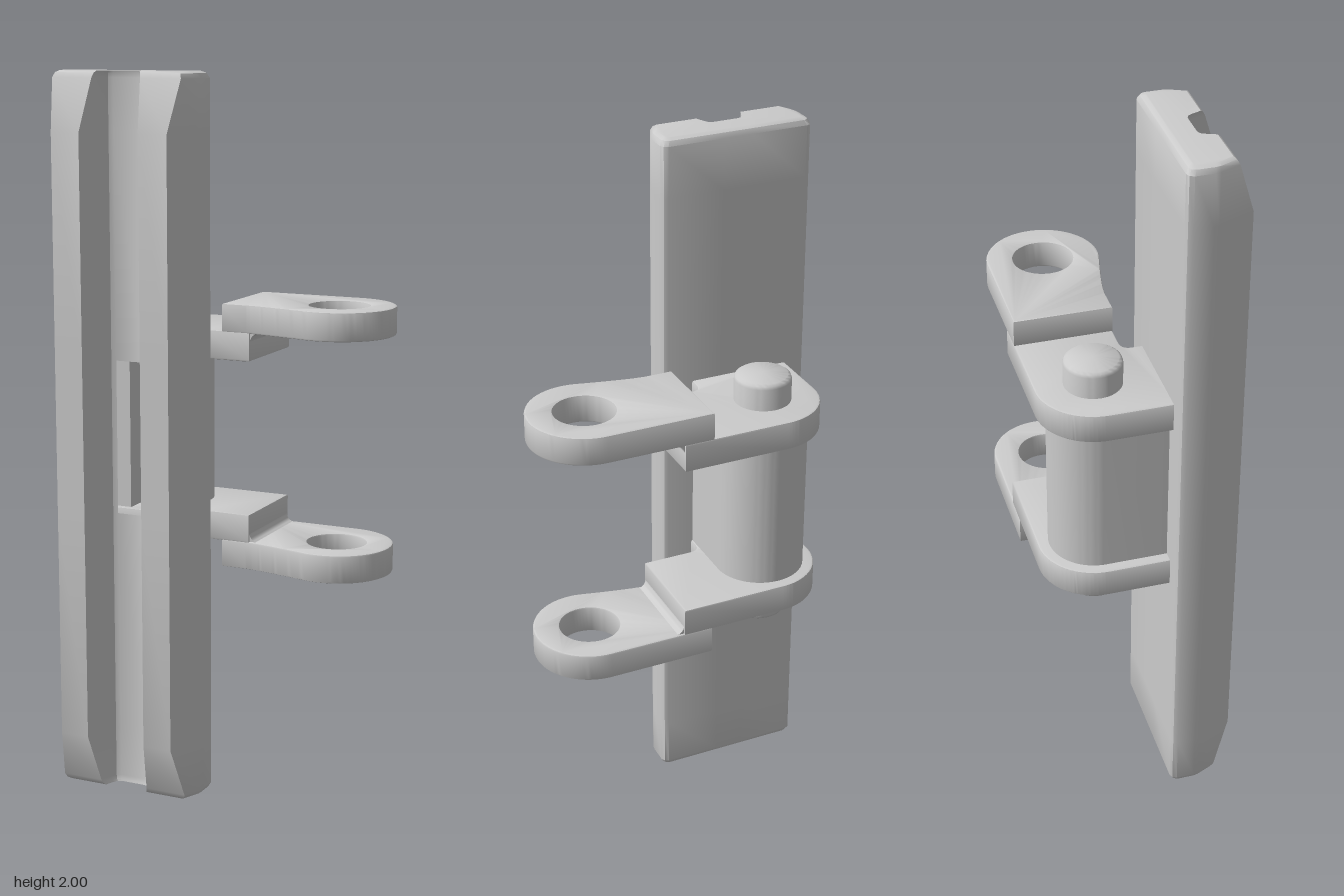
import * as THREE from 'three';
import { toCreasedNormals } from 'three/addons/utils/BufferGeometryUtils.js';

const MID = 1.005;            // height of the link's mirror plane
const CX = -0.229, CZ = -0.1; // pin axis
const EYE_X = 0.287;          // axis of the open eyes
const SLOT = { half: 0.04, y0: 0.79, y1: 1.22, back: 0.07, front: 0.147 };

const material = new THREE.MeshStandardMaterial({ color: 0xcccccc });

function part(name, geometry) {
  const mesh = new THREE.Mesh(toCreasedNormals(geometry, 0.6), material);
  mesh.name = name;
  return mesh;
}

// Extrudes a plan outline (x, z) between two heights, with rounded rims
function slab(shape, y0, y1, bevel) {
  const geometry = new THREE.ExtrudeGeometry(shape, {
    depth: y1 - y0 - 2 * bevel, curveSegments: 28, bevelEnabled: bevel > 0,
    bevelThickness: bevel, bevelSize: bevel, bevelOffset: -bevel, bevelSegments: 2,
  });
  return geometry.rotateX(Math.PI / 2).translate(0, y1 - bevel, 0);
}

// Pad cross-section, with the tread tips cut off at depth tipZ
function padSection(tipZ, inset) {
  const t = (tipZ - 0.152) / 0.1;
  const lerp = THREE.MathUtils.lerp;
  const half = [
    [SLOT.half, SLOT.back], [0.2, 0.07], [0.211, 0.075], [0.2165, 0.087],
    [0.2165, 0.138], [0.214, 0.152],
    [lerp(0.214, 0.172, t), tipZ], [lerp(0.054, 0.088, t), tipZ],
    [0.06, 0.17], [0.052, 0.153], [SLOT.half, SLOT.front],
  ];
  const all = [...half, ...half.map(([u, z]) => [-u, z]).reverse()];
  const k = 1 - inset / 0.2165;
  return all.map(([u, z]) => [CX + u * k, 0.16 + (z - 0.16) * (1 - inset / 0.09)]);
}

// Grooved pad lofted along y, leaving a slot through its middle
function padGeometry() {
  const lower = [[0, 0.2, 0.018], [0.005, 0.202, 0.007], [0.018, 0.206, 0], [0.16, 0.252, 0]];
  const rows = [
    ...lower, [SLOT.y0, 0.252, 0], [SLOT.y1, 0.252, 0],
    ...lower.map(([y, z, i]) => [2 - y, z, i]).reverse(),
  ];
  const rings = rows.map(([y, z, inset]) => padSection(z, inset).map(([x, w]) => [x, y, w]));
  const n = rings[0].length;
  const positions = [];
  const tri = (...p) => p.forEach((v) => positions.push(...v));
  const quad = (a, b, c, d) => { tri(a, b, c); tri(a, c, d); };

  for (let r = 0; r < rings.length - 1; r++) {
    for (let i = 0; i < n; i++) {
      const j = (i + 1) % n;
      const slotStrip = i === n / 2 - 1 || i === n - 1;
      if (slotStrip && rows[r][0] === SLOT.y0) continue;
      quad(rings[r][i], rings[r + 1][i], rings[r + 1][j], rings[r][j]);
    }
  }
  // End caps
  const flat = rings[0].map(([x, , z]) => new THREE.Vector2(x, z));
  const top = rings[rings.length - 1];
  for (const [a, b, c] of THREE.ShapeUtils.triangulateShape(flat, [])) {
    const ccw = (flat[b].x - flat[a].x) * (flat[c].y - flat[a].y)
      - (flat[b].y - flat[a].y) * (flat[c].x - flat[a].x) > 0;
    const [p, q] = ccw ? [b, c] : [c, b];
    tri(rings[0][a], rings[0][p], rings[0][q]);
    tri(top[a], top[q], top[p]);
  }
  // Slot walls
  const corners = [[-1, SLOT.y0], [1, SLOT.y0], [1, SLOT.y1], [-1, SLOT.y1]];
  corners.forEach(([s, y], i) => {
    const [s2, y2] = corners[(i + 1) % 4];
    const at = (side, h, z) => [CX + side * SLOT.half, h, z];
    quad(at(s, y, SLOT.back), at(s2, y2, SLOT.back), at(s2, y2, SLOT.front), at(s, y, SLOT.front));
  });
  const geometry = new THREE.BufferGeometry();
  geometry.setAttribute('position', new THREE.Float32BufferAttribute(positions, 3));
  geometry.computeVertexNormals();
  return geometry;
}

// Inner plate, joining the pad to the step
function innerPlateShape() {
  const s = new THREE.Shape();
  s.moveTo(-0.385, 0.085);
  s.lineTo(-0.385, CZ);
  s.absarc(CX, CZ, 0.156, Math.PI, Math.PI * 1.5, false);
  s.lineTo(0.07, -0.256);
  s.lineTo(0.07, 0.015);
  s.lineTo(-0.07, 0.015);
  s.quadraticCurveTo(-0.1, 0.015, -0.1, 0.043);
  s.lineTo(-0.1, 0.085);
  return s;
}

// Outer plate with its round eye
function outerPlateShape() {
  const s = new THREE.Shape();
  s.moveTo(-0.012, -0.256);
  s.lineTo(EYE_X, -0.256);
  s.absarc(EYE_X, CZ, 0.156, -Math.PI / 2, Math.PI / 2 + 0.2, false);
  s.quadraticCurveTo(0.1, 0.015, 0.06, 0.015);
  s.lineTo(-0.012, 0.015);
  s.holes.push(new THREE.Path().absarc(EYE_X, CZ, 0.083, 0, Math.PI * 2, true));
  return s;
}

// Barrel around the pin, with straight cheeks and a channel to the slot
function barrelShape() {
  const r = 0.125, h = SLOT.half;
  const s = new THREE.Shape();
  s.moveTo(CX - r, 0.07);
  s.lineTo(CX - r, CZ);
  s.absarc(CX, CZ, r, Math.PI, Math.PI * 2, false);
  s.lineTo(CX + r, 0.07);
  s.lineTo(CX + h, 0.07);
  s.lineTo(CX + h, -0.06);
  s.lineTo(CX - h, -0.06);
  s.lineTo(CX - h, 0.07);
  return s;
}

// Small cove where the inner plate meets the outer plate
function coveGeometry(side) {
  const y = (h) => MID + side * h;
  const s = new THREE.Shape();
  s.moveTo(0.06, y(0.302));
  s.lineTo(0.069, y(0.262));
  s.quadraticCurveTo(0.07, y(0.293), 0.1, y(0.294));
  s.lineTo(0.1, y(0.302));
  return new THREE.ExtrudeGeometry(s, { depth: 0.26, bevelEnabled: false, curveSegments: 8 })
    .translate(0, 0, -0.25);
}

function pinGeometry() {
  const half = [[0.078, 0.358], [0.075, 0.366], [0.068, 0.371], [0, 0.376]];
  const profile = [...half.map(([r, h]) => [r, -h]).reverse(), ...half];
  return new THREE.LatheGeometry(profile.map(([r, h]) => new THREE.Vector2(r, h)), 48)
    .translate(CX, MID, CZ);
}

export function createModel() {
  const model = new THREE.Group();
  model.name = 'trackLink';
  model.add(part('pad', padGeometry()));
  model.add(part('barrel', slab(barrelShape(), MID - 0.225, MID + 0.225, 0)));
  model.add(part('pin', pinGeometry()));

  // Upper and lower stepped arms
  for (const side of [1, -1]) {
    const arm = new THREE.Group();
    arm.name = side > 0 ? 'upperArm' : 'lowerArm';
    const span = (a, b) => [MID + side * a, MID + side * b].sort((p, q) => p - q);
    arm.add(part('innerPlate', slab(innerPlateShape(), ...span(0.215, 0.296), 0.005)));
    arm.add(part('outerPlate', slab(outerPlateShape(), ...span(0.292, 0.371), 0.005)));
    arm.add(part('stepCove', coveGeometry(side)));
    model.add(arm);
  }
  return model;
}
